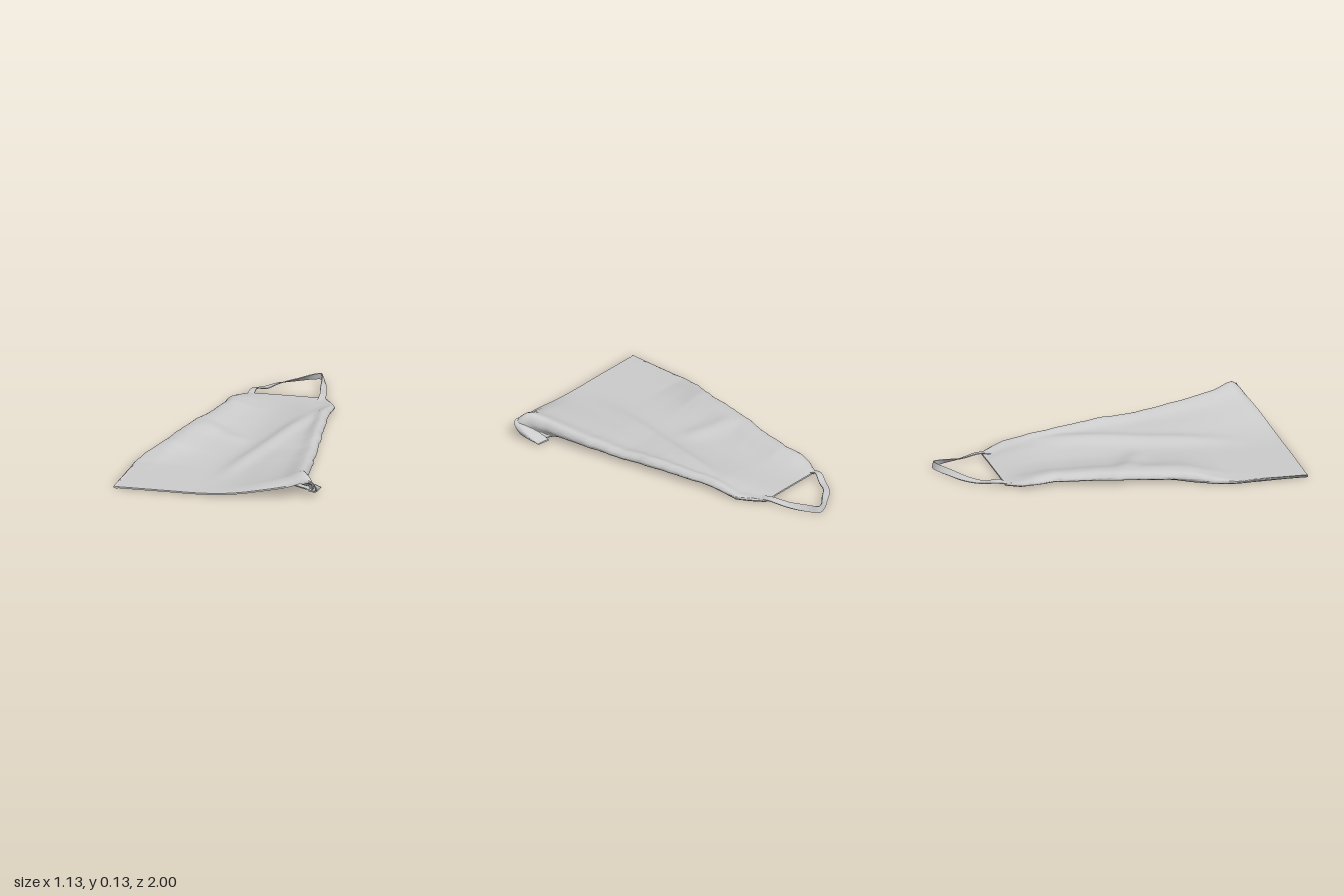
import * as THREE from 'three';
import { toCreasedNormals } from 'three/addons/utils/BufferGeometryUtils.js';

const V = (x, y, z) => new THREE.Vector3(x, y, z);
const { lerp, clamp, smoothstep } = THREE.MathUtils;
const material = new THREE.MeshStandardMaterial({ color: 0xcccccc, side: THREE.DoubleSide });

// Linear lookup in rows of [key, ...values]
function lookup(table, key) {
  let i = 1;
  while (i < table.length - 1 && table[i][0] < key) i++;
  const [a, b] = [table[i - 1], table[i]];
  const t = clamp((key - a[0]) / (b[0] - a[0]), 0, 1);
  return a.slice(1).map((v, k) => lerp(v, b[k + 1], t));
}

// Skin closed sections (outer points, then inner points reversed) and cap both ends
function loft(name, rows, crease = 0.8) {
  const n = rows[0].length, index = [];
  const quad = (a, b, c, d) => index.push(a, b, c, a, c, d);
  for (let r = 0; r < rows.length - 1; r++)
    for (let j = 0; j < n; j++) {
      const k = (j + 1) % n, o = r * n;
      quad(o + j, o + n + j, o + n + k, o + k);
    }
  const last = (rows.length - 1) * n;
  for (let i = 0; i < n / 2 - 1; i++) {
    quad(i, i + 1, n - 2 - i, n - 1 - i);
    quad(last + i, last + n - 1 - i, last + n - 2 - i, last + i + 1);
  }
  const geo = new THREE.BufferGeometry().setFromPoints(rows.flat());
  geo.setIndex(index);
  const mesh = new THREE.Mesh(toCreasedNormals(geo, crease), material);
  mesh.name = name;
  return mesh;
}

// Give a sampled 2D profile a thickness; place(point, t) returns its z and extra height
function thicken(curve, samples, thickness, place) {
  const outer = [], inner = [];
  for (let i = 0; i <= samples; i++) {
    const p = curve.getPoint(i / samples), t = curve.getTangent(i / samples);
    const { z, lift } = place(p, i / samples);
    outer.push(V(p.x, Math.max(0, p.y + lift), z));
    inner.push(V(p.x + t.y * thickness, Math.max(0.001, p.y + lift - t.x * thickness), z));
  }
  return [...outer, ...inner.reverse()];
}

// Flat strap along points [x, y, z, tilt in radians]
function ribbon(name, pts, width, thickness, segments = 40) {
  const path = new THREE.CatmullRomCurve3(pts.map(p => V(p[0], p[1], p[2])));
  const rows = [];
  for (let i = 0; i <= segments; i++) {
    const s = i / segments, f = s * (pts.length - 1), k = Math.min(Math.floor(f), pts.length - 2);
    const tilt = lerp(pts[k][3], pts[k + 1][3], f - k);
    const c = path.getPoint(s), t = path.getTangent(s);
    const side = V(0, 1, 0).cross(t).normalize().applyAxisAngle(t, -tilt);
    const up = t.clone().cross(side).multiplyScalar(thickness / 2);
    side.multiplyScalar(width / 2);
    const corner = (a, b) => c.clone().addScaledVector(side, a).addScaledVector(up, b);
    const row = [corner(-1, 1), corner(1, 1), corner(1, -1), corner(-1, -1)];
    row.forEach(p => { p.y = Math.max(0, p.y); });
    rows.push(row);
  }
  return loft(name, rows);
}

// Sides: [z, outer x, inner x of the turned-under flap, puff height]
const rightSide = [
  [-0.66, -0.27, -0.25, 0.014], [-0.58, -0.315, -0.28, 0.03], [-0.5, -0.34, -0.27, 0.05],
  [-0.4, -0.338, -0.265, 0.06], [-0.2, -0.37, -0.265, 0.064], [0, -0.42, -0.28, 0.073],
  [0.2, -0.46, -0.37, 0.07], [0.36, -0.493, -0.47, 0.064], [0.47, -0.54, -0.52, 0.042],
  [0.6, -0.56, -0.54, 0.02], [1, -0.565, -0.545, 0.011],
];
const leftSide = [
  [-0.69, 0.17, 0.15, 0.014], [-0.62, 0.225, 0.2, 0.02], [-0.55, 0.265, 0.24, 0.03],
  [-0.4, 0.277, 0.22, 0.06], [0, 0.35, 0.17, 0.077], [0.2, 0.385, 0.2, 0.067],
  [0.5, 0.437, 0.28, 0.09], [0.7, 0.472, 0.34, 0.115], [0.79, 0.505, 0.39, 0.135],
  [0.83, 0.53, 0.44, 0.128], [0.86, 0.548, 0.48, 0.105],
];

// Soft ridge in the cloth along a line on the ground
function ridge(x, z, [x0, z0, x1, z1, height, width]) {
  const dx = x1 - x0, dz = z1 - z0, l2 = dx * dx + dz * dz;
  const s = ((x - x0) * dx + (z - z0) * dz) / l2;
  const d = ((x - x0) * dz - (z - z0) * dx) / Math.sqrt(l2) / width;
  return height * Math.exp(-d * d) * smoothstep(s, -0.2, 0.3) * (1 - smoothstep(s, 0.7, 1.2));
}
const ridges = [
  [0.2, -0.35, -0.02, 0.65, 0.02, 0.05],
  [-0.33, 0.02, -0.06, 0.14, 0.013, 0.06],
  [-0.36, 0.05, -0.48, 0.65, 0.006, 0.04],
];

function apronBody() {
  const rows = [], count = 100;
  for (let r = 0; r <= count; r++) {
    const v = r / count;
    const za = lerp(-0.66, 1, v), zb = lerp(-0.69, 0.86, v);
    let [xa, ia, ha] = lookup(rightSide, za);
    let [xb, ib, hb] = lookup(leftSide, zb);
    // Small irregular crumples along the rolled sides
    const fade = smoothstep(v, 0.05, 0.2) * (1 - smoothstep(v, 0.65, 0.9));
    const crumple = z => fade * (Math.sin(z * 29) + Math.sin(z * 47 + 1) * 0.7 + Math.sin(z * 83 + 2) * 0.5);
    xa += 0.002 * crumple(za);
    xb += 0.0018 * crumple(zb + 2);
    const ea = Math.min(0.03, (ia - xa) * 0.4), eb = Math.min(0.03, (xb - ib) * 0.4);
    const c = lerp(0.02, 0.011, smoothstep(v, 0.6, 1)) - 0.006 * (1 - smoothstep(v, 0, 0.2));
    const w = xb - xa;
    // Underside of each puff slopes down to the flap edge
    const la = Math.max(0, ha - 0.03) * 0.55, lb = Math.max(0, hb - 0.03) * 0.55;
    const curve = new THREE.SplineCurve([
      [ia, 0], [lerp(ia, xa + ea, 0.5), la * 0.3], [xa + ea, la * 0.7], [xa, ha * 0.5],
      [xa + Math.min(0.03, ha * 0.6), ha * 0.95], [xa + w * 0.13, Math.max(ha * 0.95, 0.011)],
      [xa + w * 0.28, lerp(c, ha, 0.3)], [xa + w * 0.45, c], [xa + w * 0.6, lerp(c, hb, 0.12)],
      [xb - w * 0.25, lerp(c, hb, 0.4)], [xb - w * 0.13, Math.max(hb * 0.7, 0.012)],
      [xb - Math.min(0.033, hb * 0.6), hb], [xb, hb * 0.6], [xb - eb, lb * 0.7],
      [lerp(ib, xb - eb, 0.5), lb * 0.3], [ib, 0],
    ].map(p => new THREE.Vector2(...p)));
    rows.push(thicken(curve, 90, 0.009, (p, t) => {
      const u = clamp((p.x + 0.565) / 1.1, 0, 1);
      const top = -0.66 - 0.03 * clamp((p.x + 0.27) / 0.44, 0, 1);
      // The turned-under hem corner sits further back than the upper hem
      const tuck = 0.14 * smoothstep(t, 0.8, 0.95) * smoothstep(v, 0.5, 1);
      const z = lerp(top, 1 - 0.06 * u - 0.09 * u ** 4, v) - tuck;
      const onTop = smoothstep(t, 0.27, 0.36) * (1 - smoothstep(t, 0.64, 0.73));
      return { z, lift: onTop * ridges.reduce((s, k) => s + ridge(p.x, z, k), 0) };
    }));
  }
  return loft('apronBody', rows, 1.0);
}

// Hem corner that rolls outward, sloping down to the ground towards the back
function curledCorner() {
  const rows = [];
  for (let r = 0; r <= 14; r++) {
    const s = r / 14, k = lerp(0.14, 1, s), dx = -0.014 * (1 - s) ** 2;
    const curve = new THREE.SplineCurve([
      [0.48, 0.088], [0.515, 0.1], [0.542, 0.096], [0.558, 0.07], [0.553, 0.03], [0.53, 0.006], [0.49, 0.001],
    ].map(([x, y]) => new THREE.Vector2(x + dx, y * k)));
    rows.push(thicken(curve, 28, 0.009, (p, t) => ({
      z: lerp(0.68 + 0.015 * t, 0.865 - 0.11 * smoothstep(t, 0.35, 1), s), lift: 0,
    })));
  }
  return loft('curledCorner', rows, 1.0);
}

export function createModel() {
  const group = new THREE.Group();
  group.name = 'apron';
  group.add(apronBody(), curledCorner());

  // Neck loop, flat at the bib and standing on edge at its far end
  group.add(ribbon('neckStrap', [
    [-0.252, 0.012, -0.65, 0], [-0.248, 0.024, -0.7, 0.2], [-0.205, 0.008, -0.775, 0], [-0.15, 0.012, -0.855, 0.3],
    [-0.06, 0.018, -0.925, 0.7], [0.02, 0.023, -0.983, 1.2], [0.06, 0.024, -0.993, 1.4], [0.088, 0.02, -0.93, 1.0],
    [0.118, 0.012, -0.82, 0.4], [0.147, 0.02, -0.71, 0.2], [0.155, 0.004, -0.61, 0],
  ], 0.038, 0.005, 60));

  // Waist ties tucked underneath
  group.add(ribbon('waistTie', [
    [0.16, 0.003, -0.17, 0], [0.06, 0.004, -0.13, 0], [-0.05, 0.004, -0.055, 0.1],
    [-0.16, 0.004, -0.02, 0], [-0.28, 0.003, 0.01, 0],
  ], 0.03, 0.005));
  group.add(ribbon('tieEndLeft', [[0.18, 0.003, -0.03, 0], [0.14, 0.003, -0.1, 0], [0.1, 0.003, -0.18, 0]], 0.03, 0.004, 10));
  group.add(ribbon('tieEndRight', [[-0.3, 0.003, -0.01, 0], [-0.24, 0.003, 0.04, 0], [-0.17, 0.003, 0.09, 0]], 0.03, 0.004, 10));
  return group;
}
